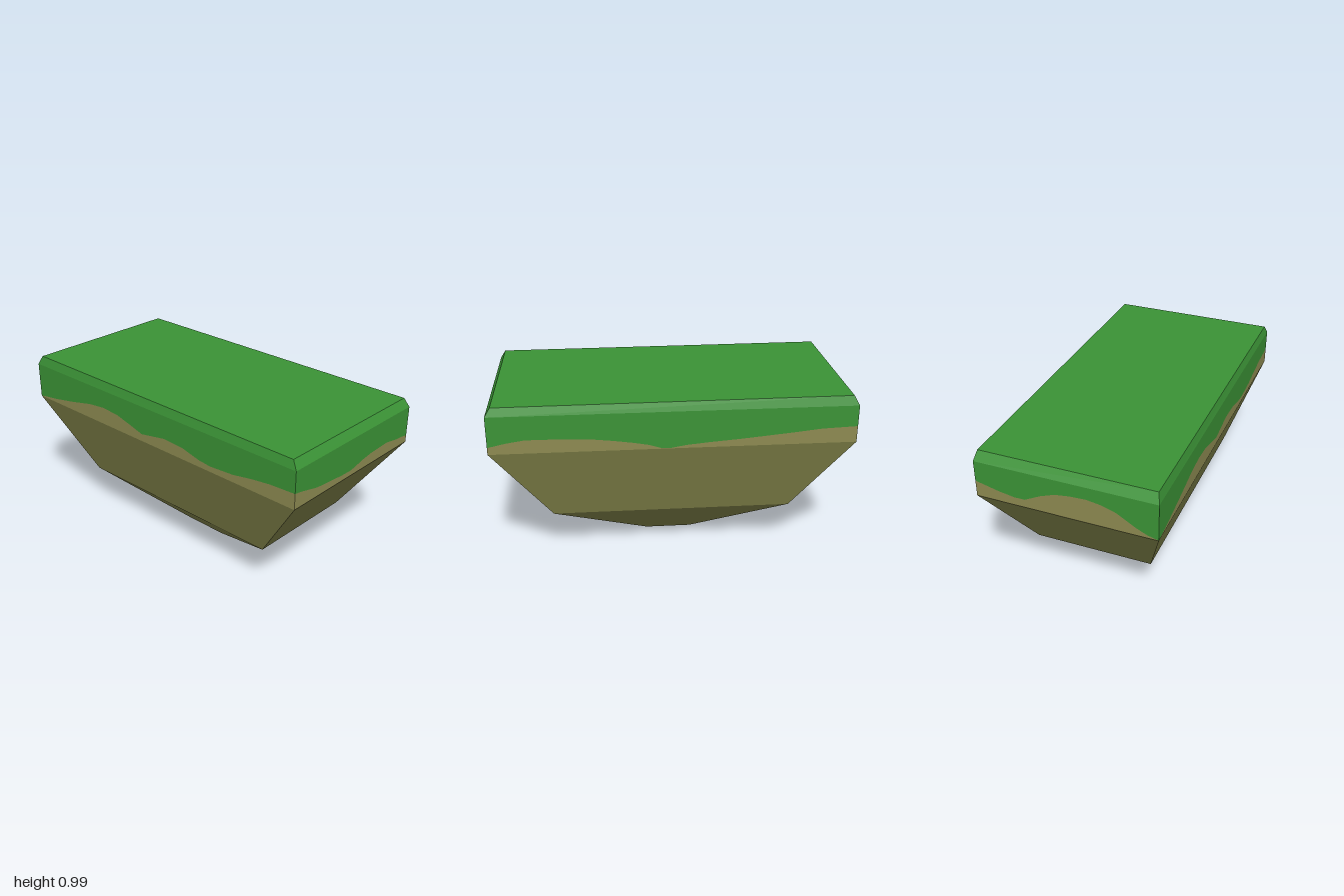
import * as THREE from 'three';

const material = (name, color) => Object.assign(new THREE.MeshStandardMaterial({ color }), { name });

// Rectangle corners, counter-clockwise from above, starting front at -x
const ring = (hx, hz, y, tilt = 0) =>
  [[-hx, hz], [hx, hz], [hx, -hz], [-hx, -hz]].map(([x, z]) => [x, y - tilt * z, z]);

// Flat-shaded wall between two closed loops with equal point counts
function wall(lower, upper) {
  const tris = [];
  lower.forEach((a, i) => {
    const j = (i + 1) % lower.length;
    tris.push(a, lower[j], upper[j], a, upper[j], upper[i]);
  });
  return tris;
}

const cap = ([a, b, c, d], down) => (down ? [a, c, b, a, d, c] : [a, b, c, a, c, d]);

function mesh(name, tris, mat) {
  const geo = new THREE.BufferGeometry();
  geo.setAttribute('position', new THREE.Float32BufferAttribute(tris.flat(), 3));
  geo.computeVertexNormals();
  const m = new THREE.Mesh(geo, mat);
  m.name = name;
  return m;
}

// Height of the grass edge along each side: [fraction along side, y]
const grassEdge = [
  // front, -x to +x
  [[0, 0.815], [0.05, 0.807], [0.1, 0.795], [0.17, 0.778], [0.22, 0.772], [0.3, 0.766], [0.38, 0.758],
    [0.46, 0.755], [0.5, 0.76], [0.57, 0.777], [0.65, 0.787], [0.72, 0.79], [0.8, 0.793], [0.85, 0.785],
    [0.9, 0.776], [0.95, 0.772]],
  // +x side, front to back
  [[0, 0.765], [0.05, 0.787], [0.1, 0.802], [0.2, 0.801], [0.28, 0.793], [0.33, 0.782], [0.39, 0.765],
    [0.43, 0.75], [0.46, 0.731], [0.49, 0.728], [0.53, 0.742], [0.6, 0.755], [0.68, 0.767], [0.75, 0.78],
    [0.83, 0.795], [0.9, 0.81]],
  // back, +x to -x
  [[0, 0.818], [0.13, 0.787], [0.22, 0.772], [0.28, 0.773], [0.37, 0.82], [0.45, 0.85], [0.53, 0.862],
    [0.62, 0.867], [0.7, 0.855], [0.78, 0.83], [0.88, 0.77], [0.94, 0.742]],
  // -x side, back to front
  [[0, 0.727], [0.08, 0.75], [0.16, 0.78], [0.24, 0.815], [0.3, 0.828], [0.36, 0.82], [0.41, 0.795],
    [0.46, 0.768], [0.5, 0.782], [0.55, 0.8], [0.62, 0.793], [0.68, 0.765], [0.72, 0.757], [0.8, 0.768],
    [0.86, 0.79], [0.92, 0.806]],
];

export function createModel() {
  const grass = material('grass', 0x3b9336);
  const soil = material('soil', 0x8d8a51);
  const earth = material('earth', 0x85874c);

  // Horizontal sections of the floating block
  const tip = ring(0.066, 0.132, 0);
  const middle = ring(0.34, 0.68, 0.268);
  const rim = ring(0.5, 1, 0.725);
  const shoulder = ring(0.5, 1, 0.938);
  const top = ring(0.486, 0.97, 0.989, 0.003);

  // Wavy edge and matching straight loops below and above it
  const edge = [];
  grassEdge.forEach((points, s) => {
    const a = rim[s], b = rim[(s + 1) % 4];
    points.forEach(([t, y]) => edge.push([a[0] + (b[0] - a[0]) * t, y, a[2] + (b[2] - a[2]) * t]));
  });
  const level = (y) => edge.map(([x, , z]) => [x, y, z]);

  const model = new THREE.Group();
  model.name = 'grassIsland';
  model.add(
    mesh('lowerEarth', [...cap(tip, true), ...wall(tip, middle)], earth),
    mesh('upperEarth', wall(middle, rim), earth),
    mesh('soilBand', wall(level(0.725), edge), soil),
    mesh('grassSides', wall(edge, level(0.938)), grass),
    mesh('grassBevel', wall(shoulder, top), grass),
    mesh('grassTop', cap(top), grass),
  );
  return model;
}
